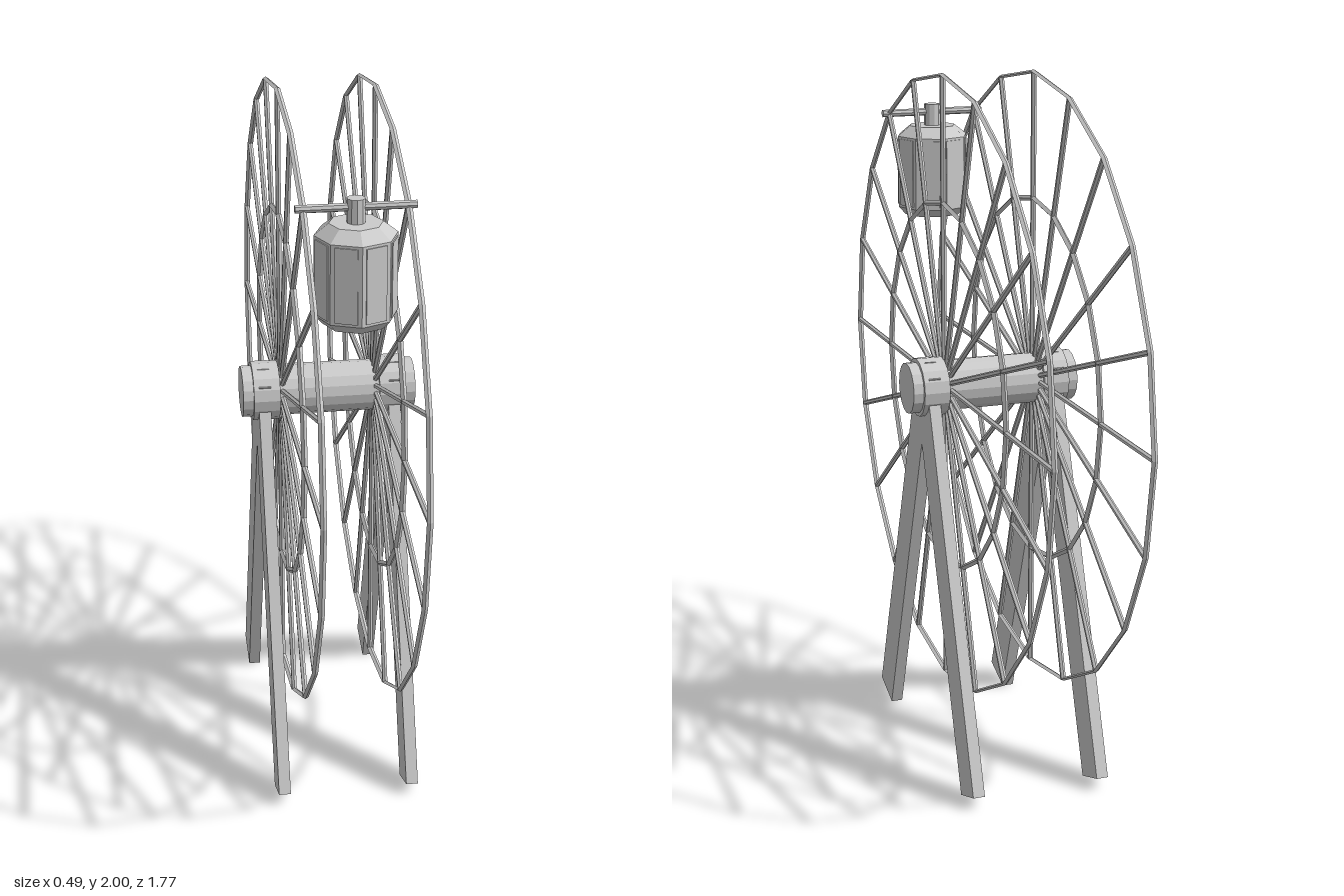
import * as THREE from 'three';

const HUB_Y = 1.115, SIDES = 20, WHEEL_X = 0.134, RIM = 0.88;
const LEG_TILT = THREE.MathUtils.degToRad(20);

export function createModel() {
  const model = new THREE.Group();
  model.name = 'ferrisWheel';
  const material = new THREE.MeshStandardMaterial({ color: 0xcccccc, flatShading: true });

  const add = (parent, name, geometry, x = 0, y = 0, z = 0) => {
    const mesh = new THREE.Mesh(geometry, material);
    mesh.name = name;
    mesh.position.set(x, y, z);
    parent.add(mesh);
    return mesh;
  };
  // Cylinder lying along x
  const rod = (radius, length, sides) =>
    new THREE.CylinderGeometry(radius, radius, length, sides).rotateZ(Math.PI / 2);
  // Polygonal hoop facing x, with its own radial and sideways thickness
  const hoop = (radius, tube, widen) =>
    new THREE.TorusGeometry(radius, tube, 4, SIDES).rotateY(Math.PI / 2).scale(widen, 1, 1);

  // Axle running through both wheels
  add(model, 'axle', rod(0.073, 0.494, 16), 0, HUB_Y, 0);

  for (const side of [-1, 1]) {
    const label = side > 0 ? 'left' : 'right';

    // Bearing collar and splayed pair of legs
    add(model, label + 'Collar', rod(0.084, 0.075, 16), side * 0.18, HUB_Y, 0);
    for (const dir of [-1, 1]) {
      const top = 0.063, bottom = -1.166;
      const legGeo = new THREE.BoxGeometry(0.034, top - bottom, 0.115);
      legGeo.translate(0, (top + bottom) / 2, 0).rotateX(-dir * LEG_TILT);
      add(model, label + (dir > 0 ? 'FrontLeg' : 'BackLeg'), legGeo, side * 0.186, HUB_Y, 0);
    }

    // Wheel: outer rim, inner ring and spokes
    const wheel = new THREE.Group();
    wheel.name = label + 'Wheel';
    wheel.position.set(side * WHEEL_X, HUB_Y, 0);
    model.add(wheel);
    add(wheel, 'outerRim', hoop(RIM, 0.005, 1.7));
    add(wheel, 'innerRing', hoop(0.525, 0.008, 1.05));
    const spokeGeo = new THREE.CylinderGeometry(0.008, 0.008, 0.835, 6).translate(0, 0.4625, 0);
    for (let i = 0; i < SIDES; i++) {
      add(wheel, 'spoke', spokeGeo).rotation.x = (i / SIDES) * Math.PI * 2;
    }
  }

  // Cabin hanging from a crossbar between the rims, two spokes forward of the top
  const cabin = new THREE.Group();
  cabin.name = 'cabin';
  const angle = Math.PI / 5;
  cabin.position.set(0, HUB_Y + RIM * Math.cos(angle), RIM * Math.sin(angle));
  model.add(cabin);
  add(cabin, 'crossbar', rod(0.011, 0.31, 8));
  add(cabin, 'hanger', new THREE.CylinderGeometry(0.024, 0.024, 0.075, 10), 0, -0.014, 0);

  // Octagonal body with bevelled roof and floor
  const profile = [[0, -0.308], [0.086, -0.308], [0.108, -0.284], [0.108, -0.07], [0.07, -0.04], [0, -0.04]];
  add(cabin, 'cabinBody', new THREE.LatheGeometry(profile.map(([r, y]) => new THREE.Vector2(r, y)), 8));

  // Thin raised panel on each of the eight faces
  const apothem = 0.108 * Math.cos(Math.PI / 8);
  const panelGeo = new THREE.BoxGeometry(0.06, 0.2, 0.006).translate(0, -0.177, apothem);
  for (let i = 0; i < 8; i++) {
    add(cabin, 'cabinPanel', panelGeo).rotation.y = (i + 0.5) * Math.PI / 4;
  }
  return model;
}
